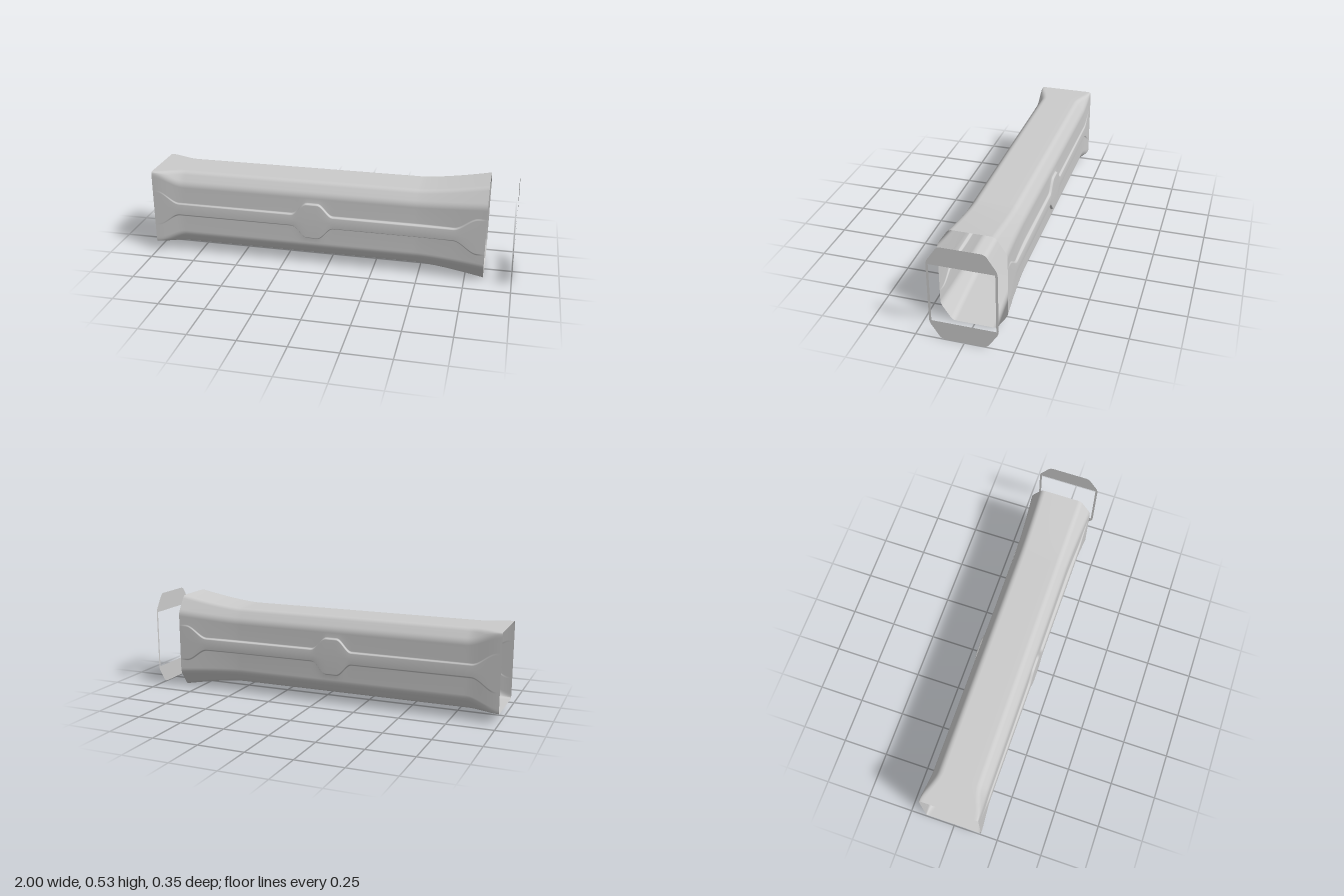
import * as THREE from 'three';

const MID_Y = 0.265, X0 = -1, X1 = 0.85;
const { lerp, smoothstep } = THREE.MathUtils;

// Half height of the raised band: wider at both ends and around the middle boss
function bandHalf(x) {
  const boss = 1 - smoothstep(Math.abs(x + 0.085), 0.03, 0.115);
  const ends = Math.max(1 - smoothstep(x, -0.98, -0.85), smoothstep(x, 0.68, 0.81));
  return 0.035 + 0.066 * Math.max(boss, ends);
}

// Rounded corner at b between a and c, points are [y, z]
function roundCorner(a, b, c, d, n = 4) {
  const toward = (p) => {
    const l = Math.hypot(p[0] - b[0], p[1] - b[1]);
    const t = Math.min(d / l, 0.45);
    return [lerp(b[0], p[0], t), lerp(b[1], p[1], t)];
  };
  const s = toward(a), e = toward(c), out = [];
  for (let i = 0; i <= n; i++) {
    const t = i / n, u = 1 - t;
    out.push([0, 1].map((k) => u * u * s[k] + 2 * u * t * b[k] + t * t * e[k]));
  }
  return out;
}

// Closed cross-section at x, mirrored from one quarter (side centre to top centre)
function section(x) {
  const left = smoothstep(x, -1, -0.82);
  const flare = Math.pow(Math.max(0, (x - 0.48) / 0.37), 1.4);
  const zBand = lerp(0.159, 0.174, (x - X0) / (X1 - X0));
  const zSide = lerp(lerp(zBand, 0.152, left), zBand, flare);
  const top = 0.213 + 0.052 * flare;
  const shoulder = lerp(lerp(0.203, 0.15, left), 0.174, flare);
  const zTop = lerp(lerp(0.153, 0.108, left), 0.114, flare);
  const h = bandHalf(x);
  const foot = [h + 0.005, zSide], a = [shoulder, zSide], b = [top, zTop], c = [top, 0];
  const q = [[0, zBand], [h - 0.007, zBand], [h - 0.003, lerp(zBand, zSide, 0.2)],
    [h + 0.001, lerp(zBand, zSide, 0.8)], foot,
    ...roundCorner(foot, a, b, 0.02), ...roundCorner(a, b, c, 0.02), c];
  const half = [...q, ...q.slice(0, -1).reverse().map(([y, z]) => [y, -z])];
  return [...half, ...half.slice(1, -1).reverse().map(([y, z]) => [-y, z])];
}

// Skin through all cross-sections
function sleeveGeometry() {
  const pos = [], idx = [], steps = 185;
  let n = 0;
  for (let i = 0; i <= steps; i++) {
    const x = lerp(X0, X1, i / steps), ring = section(x);
    n = ring.length;
    for (const [y, z] of ring) pos.push(x, MID_Y + y, z);
  }
  for (let i = 0; i < steps; i++) {
    for (let j = 0; j < n; j++) {
      const k = (j + 1) % n;
      const a = i * n + j, b = a + n, c = i * n + k, d = c + n;
      idx.push(a, b, d, a, d, c);
    }
  }
  const g = new THREE.BufferGeometry();
  g.setAttribute('position', new THREE.Float32BufferAttribute(pos, 3));
  g.setIndex(idx);
  g.computeVertexNormals();
  return g;
}

// Flat end frame: the flared outline with a rectangular window
function frameGeometry() {
  const shape = new THREE.Shape(section(X1).map(([y, z]) => new THREE.Vector2(-z, y)));
  const w = 0.162, h = 0.162;
  shape.holes.push(new THREE.Path([[-w, -h], [-w, h], [w, h], [w, -h]]
    .map(([x, y]) => new THREE.Vector2(x, y))));
  return new THREE.ShapeGeometry(shape).rotateY(Math.PI / 2).translate(1, MID_Y, 0);
}

export function createModel() {
  const group = new THREE.Group();
  group.name = 'sleeveWithEndFrame';
  const material = new THREE.MeshStandardMaterial({ color: 0xcccccc, side: THREE.DoubleSide });
  const add = (name, geometry) => {
    const mesh = new THREE.Mesh(geometry, material);
    mesh.name = name;
    group.add(mesh);
  };
  add('sleeve', sleeveGeometry());
  add('endFrame', frameGeometry());
  return group;
}
